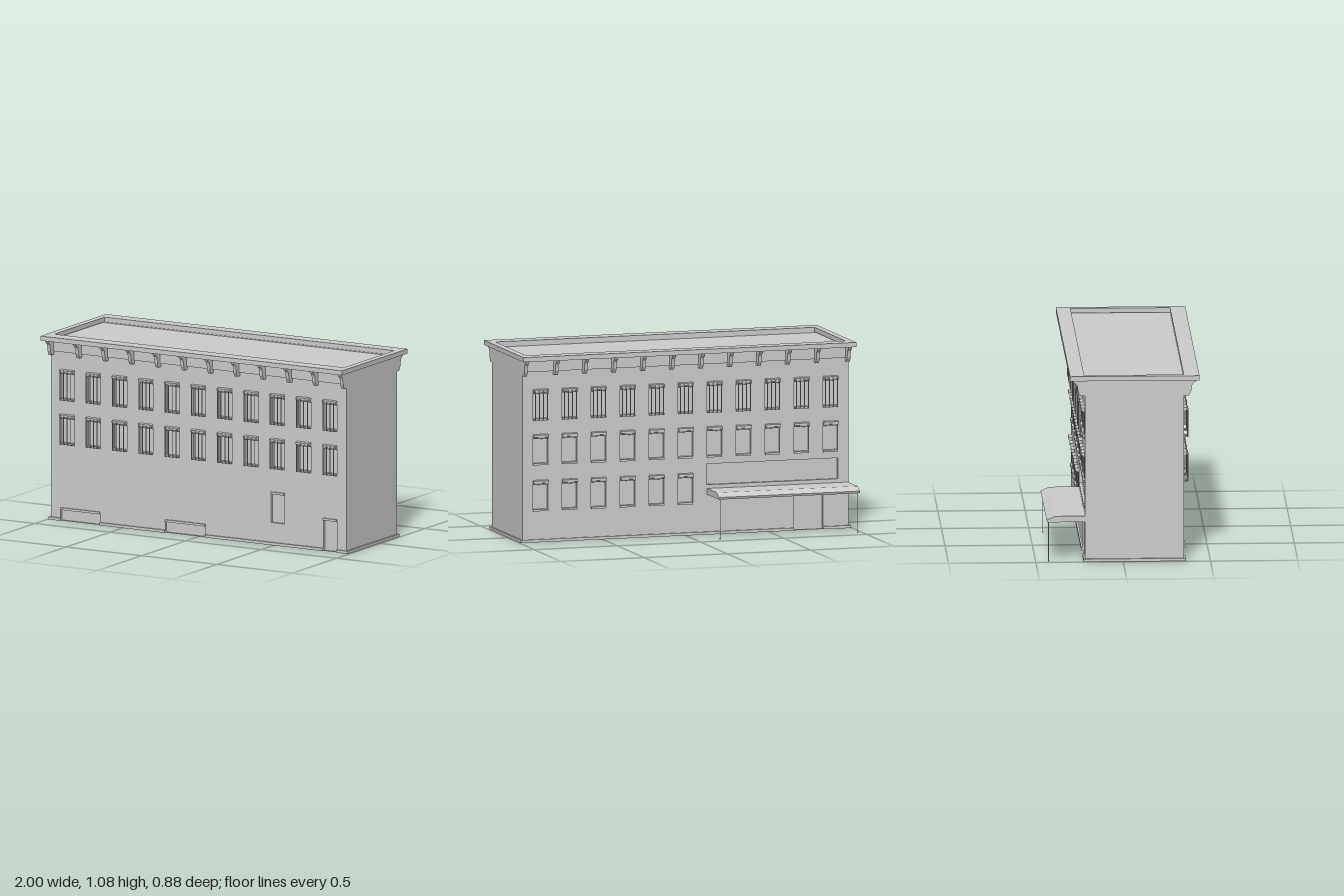
import * as THREE from 'three';
import { mergeGeometries } from 'three/addons/utils/BufferGeometryUtils.js';

const material = new THREE.MeshStandardMaterial({ color: 0xcccccc, side: THREE.DoubleSide, flatShading: true });

const HALF = 0.98;            // half length of the walls
const FRONT = 0.35, BACK = -0.217;
const MID = (FRONT + BACK) / 2, DEPTH = FRONT - BACK;
const WALL_TOP = 1.056, TOP = 1.083, ROOF = 1.052;
const STEP = 0.1743;          // window spacing
const RECESS = 0.016;         // depth of window and door recesses

function add(parent, name, geometry) {
  const mesh = new THREE.Mesh(geometry, material);
  mesh.name = name;
  parent.add(mesh);
  return mesh;
}

// Box given by its limits on each axis
function block(x0, x1, y0, y1, z0, z1) {
  return new THREE.BoxGeometry(x1 - x0, y1 - y0, z1 - z0)
    .translate((x0 + x1) / 2, (y0 + y1) / 2, (z0 + z1) / 2);
}

// Shallow box behind an opening, without its front (+z) face
function recess(x0, x1, y0, y1) {
  const box = block(x0, x1, y0, y1, -RECESS, 0);
  box.setIndex([...box.index.array].filter((_, i) => i < 24 || i >= 30));
  box.clearGroups();
  return box;
}

// Profile of [outward z, y] points swept along x
function sweep(points, x0, x1) {
  const shape = new THREE.Shape(points.map(([z, y]) => new THREE.Vector2(-z, y)));
  return new THREE.ExtrudeGeometry(shape, { depth: x1 - x0, bevelEnabled: false })
    .rotateY(Math.PI / 2).translate(x0, 0, 0);
}

function rectPath(Type, x0, x1, y0, y1) {
  return new Type([[x0, y0], [x1, y0], [x1, y1], [x0, y1]].map(([x, y]) => new THREE.Vector2(x, y)));
}

// Horizontal rectangular ring between two heights; limits are x0, x1, z0, z1
function ring(outer, inner, y0, y1) {
  const flip = ([x0, x1, z0, z1]) => [x0, x1, -z1, -z0];
  const shape = rectPath(THREE.Shape, ...flip(outer));
  shape.holes.push(rectPath(THREE.Path, ...flip(inner)));
  return new THREE.ExtrudeGeometry(shape, { depth: y1 - y0, bevelEnabled: false })
    .rotateX(-Math.PI / 2).translate(0, y0, 0);
}

// Bent iron bars standing off the wall
function windowBars(x, y0, y1) {
  const parts = [], r = 0.002, out = 0.025;
  for (const dx of [-0.036, -0.012, 0.012, 0.036]) {
    const a = x + dx - r, b = x + dx + r;
    parts.push(block(a, b, y0, y1, out - r, out + r));
    for (const y of [y0, y1]) parts.push(block(a, b, y - r, y + r, 0, out));
  }
  return mergeGeometries(parts);
}

// Moulded hood over a window
function hood(x, y, half) {
  return sweep([[0, y - 0.027], [0.01, y - 0.025], [0.013, y - 0.018], [0.02, y - 0.016], [0.02, y - 0.003], [0, y]],
    x - half, x + half);
}

// One long wall with its openings, facing local +z, wall face on z = 0
function facade(name, openings) {
  const group = new THREE.Group();
  group.name = name;
  const wall = rectPath(THREE.Shape, -HALF, HALF, 0, WALL_TOP);
  let plinthStart = -HALF - 0.012;
  const plinth = [];

  for (const o of [...openings].sort((a, b) => a.x0 - b.x0)) {
    const x = (o.x0 + o.x1) / 2, half = (o.x1 - o.x0) / 2;
    let { y0, y1 } = o;
    if (o.type === 'window') {
      y0 += 0.011;
      y1 -= 0.027;
      add(group, 'windowHood', hood(x, o.y1, half));
      add(group, 'windowSill', block(o.x0, o.x1, o.y0, y0, 0, 0.009));
      if (o.bars) add(group, 'windowBars', windowBars(x, o.y0 + 0.005, o.y1 - 0.008));
    } else if (o.type === 'door') {
      y0 = Math.max(y0, 0.001);
      y1 -= 0.013;
      add(group, 'doorHead', block(o.x0, o.x1, y1, o.y1, 0, 0.009));
      if (o.y0 === 0) {
        plinth.push([plinthStart, o.x0]);
        plinthStart = o.x1;
      }
    }
    wall.holes.push(rectPath(THREE.Path, o.x0, o.x1, y0, y1));
    add(group, o.type + 'Recess', recess(o.x0, o.x1, y0, y1));
  }
  plinth.push([plinthStart, HALF + 0.012]);
  for (const [a, b] of plinth) add(group, 'plinth', block(a, b, 0, 0.016, 0, 0.0095));

  add(group, 'wall', new THREE.ShapeGeometry(wall));

  // Flat frieze and scrolled brackets under the cornice
  add(group, 'frieze', block(-HALF, HALF, 0.986, WALL_TOP, 0, 0.01));
  const scroll = [[0, 0.965], [0.027, 0.965], [0.034, 0.978], [0.04, 0.99], [0.043, 1.012],
    [0.047, 1.028], [0.054, 1.036], [0.067, 1.046], [0.071, WALL_TOP], [0, WALL_TOP]];
  for (let i = 0; i < 12; i++) {
    const x = (i - 5.5) * STEP * (i % 11 ? 1 : 1.012);
    add(group, 'corniceBracket', sweep(scroll, x - 0.01, x + 0.01));
  }
  return group;
}

function windowRow(y0, y1, bars, from = 0, to = 10) {
  const row = [];
  for (let i = from; i <= to; i++) {
    const x = (i - 5) * STEP;
    row.push({ type: 'window', x0: x - 0.045, x1: x + 0.045, y0, y1, bars });
  }
  return row;
}

const door = (x0, x1, y0, y1) => ({ type: 'door', x0, x1, y0, y1 });

export function createModel() {
  const model = new THREE.Group();
  model.name = 'building';

  const front = facade('frontFacade', [
    ...windowRow(0.703, 0.884, true), ...windowRow(0.445, 0.623, true),
    door(-0.917, -0.655, 0, 0.077), door(-0.223, 0.042, 0, 0.077),
    door(0.826, 0.915, 0, 0.192), door(0.479, 0.567, 0.13, 0.31),
  ]);
  front.position.z = FRONT;

  // Turned to face the rear, so its local x runs the other way
  const back = facade('backFacade', [
    ...windowRow(0.703, 0.884, true), ...windowRow(0.445, 0.623, false),
    ...windowRow(0.179, 0.358, false, 0, 5),
    { type: 'stripWindow', x0: 0.128, x1: 0.917, y0: 0.287, y1: 0.407 },
    door(0.65, 0.828, 0, 0.214),
  ]);
  back.rotation.y = Math.PI;
  back.position.z = BACK;
  model.add(front, back);

  // Plain end walls with their plinths
  for (const s of [-1, 1]) {
    add(model, 'endWall', new THREE.PlaneGeometry(DEPTH, WALL_TOP)
      .rotateY(s * Math.PI / 2).translate(s * HALF, WALL_TOP / 2, MID));
    add(model, 'endPlinth', new THREE.BoxGeometry(0.012, 0.016, DEPTH)
      .translate(s * (HALF + 0.006), 0.008, MID));
  }

  // Cornice ring around the sunken flat roof
  add(model, 'cornice', ring([-1, 1, -0.304, 0.437], [-0.96, 0.96, -0.222, 0.348], WALL_TOP, TOP));
  add(model, 'roof', new THREE.PlaneGeometry(1.958, DEPTH).rotateX(-Math.PI / 2).translate(0, ROOF, MID));

  // Loading canopy on two slim posts behind the building
  const canopy = new THREE.Group();
  canopy.name = 'canopy';
  canopy.rotation.y = Math.PI;
  canopy.position.z = BACK;
  add(canopy, 'canopyRoof', sweep([[0, 0.23], [0.216, 0.23], [0.221, 0.243], [0.172, 0.265], [0, 0.265]], 0.132, 0.98));
  for (const x of [0.142, 0.97]) {
    add(canopy, 'canopyPost', new THREE.CylinderGeometry(0.002, 0.002, 0.23, 8).translate(x, 0.115, 0.209));
    add(canopy, 'postFoot', new THREE.CylinderGeometry(0.004, 0.004, 0.006, 8).translate(x, 0.003, 0.209));
  }
  model.add(canopy);
  return model;
}
